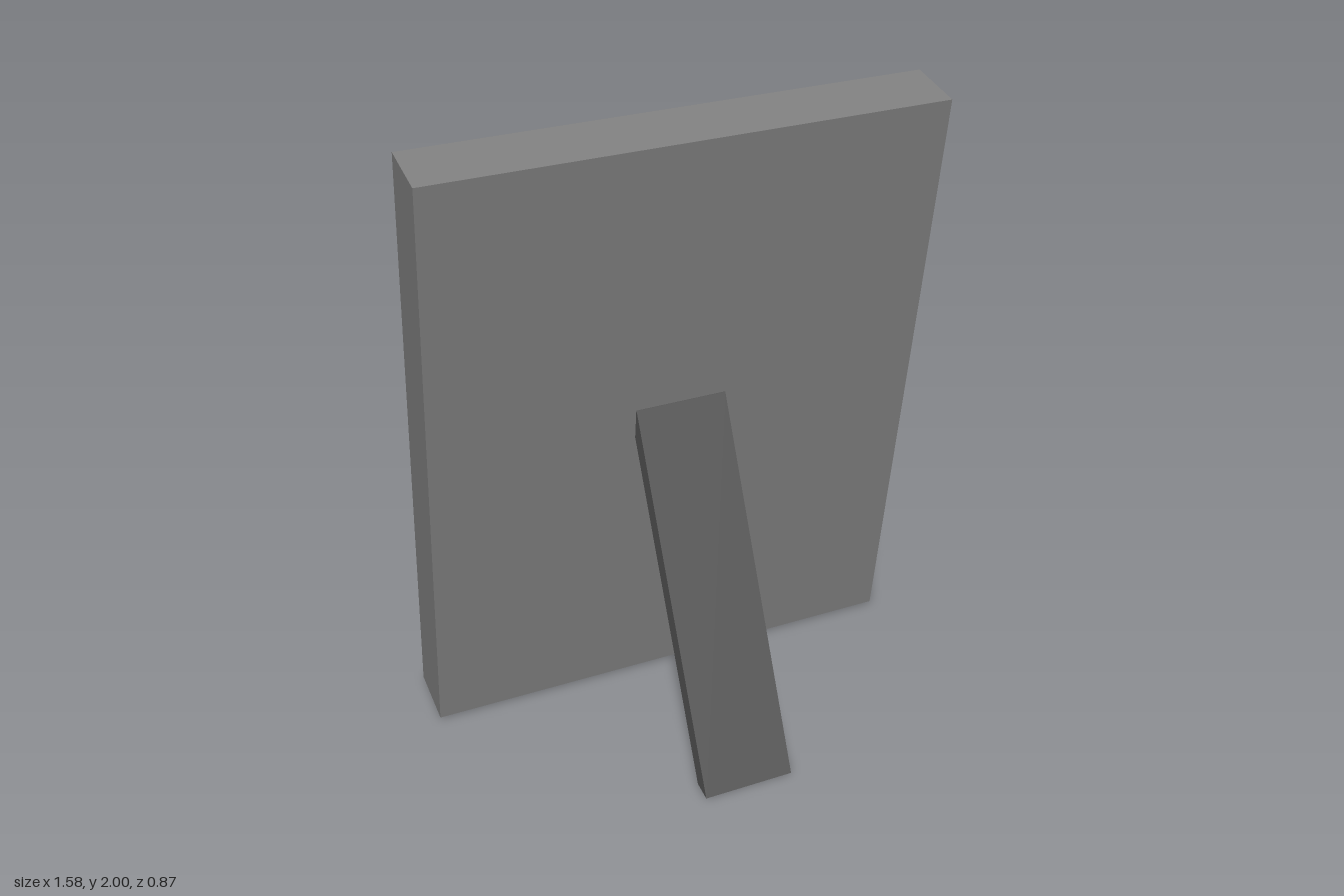
import * as THREE from 'three';

const WIDTH = 1.58, HEIGHT = 1.984, DEPTH = 0.192;
const BORDER = 0.09, RIM = 0.052, PANEL = 0.005;
const LEAN = 0.139;

function material(name, color) {
  const m = new THREE.MeshStandardMaterial({ color });
  m.name = name;
  return m;
}

function addPart(parent, name, geometry, mat) {
  const mesh = new THREE.Mesh(geometry, mat);
  mesh.name = name;
  parent.add(mesh);
  return mesh;
}

function rectangle(PathType, w, h) {
  return new PathType([
    [-w / 2, -h / 2], [w / 2, -h / 2], [w / 2, h / 2], [-w / 2, h / 2],
  ].map(([x, y]) => new THREE.Vector2(x, y)));
}

export function createModel() {
  const grey = material('frame grey', 0x808080);
  const light = material('panel light grey', 0xc0c0c0);
  const dark = material('stand dark grey', 0x565656);

  const model = new THREE.Group();
  model.name = 'pictureFrame';

  // Leaning frame, with the picture side towards -z
  const frame = new THREE.Group();
  frame.name = 'frame';
  frame.position.set(0, 1.005, -0.2025);
  frame.rotation.x = LEAN;
  model.add(frame);

  // Solid backing board
  const board = addPart(frame, 'backingBoard',
    new THREE.BoxGeometry(WIDTH, HEIGHT, DEPTH - RIM), grey);
  board.position.z = RIM / 2;

  // Raised border around the picture
  const outline = rectangle(THREE.Shape, WIDTH, HEIGHT);
  outline.holes.push(rectangle(THREE.Path, WIDTH - 2 * BORDER, HEIGHT - 2 * BORDER));
  const border = addPart(frame, 'border',
    new THREE.ExtrudeGeometry(outline, { depth: RIM, bevelEnabled: false }), grey);
  border.position.z = -DEPTH / 2;

  // Recessed picture panel
  const panel = addPart(frame, 'picturePanel',
    new THREE.BoxGeometry(WIDTH - 2 * BORDER, HEIGHT - 2 * BORDER, PANEL), light);
  panel.position.z = -DEPTH / 2 + RIM - PANEL / 2;

  // Slanted stand: side profile in (z, y), its top buried in the board
  const profile = new THREE.Shape([
    [0.435, 0], [-0.09, 1.1], [-0.155, 1.1], [0.37, 0.005],
  ].map(([z, y]) => new THREE.Vector2(z, y)));
  const standWidth = 0.29;
  const standGeometry = new THREE.ExtrudeGeometry(profile, { depth: standWidth, bevelEnabled: false });
  standGeometry.translate(0, 0, -standWidth / 2).rotateY(-Math.PI / 2);
  addPart(model, 'stand', standGeometry, dark);

  return model;
}
